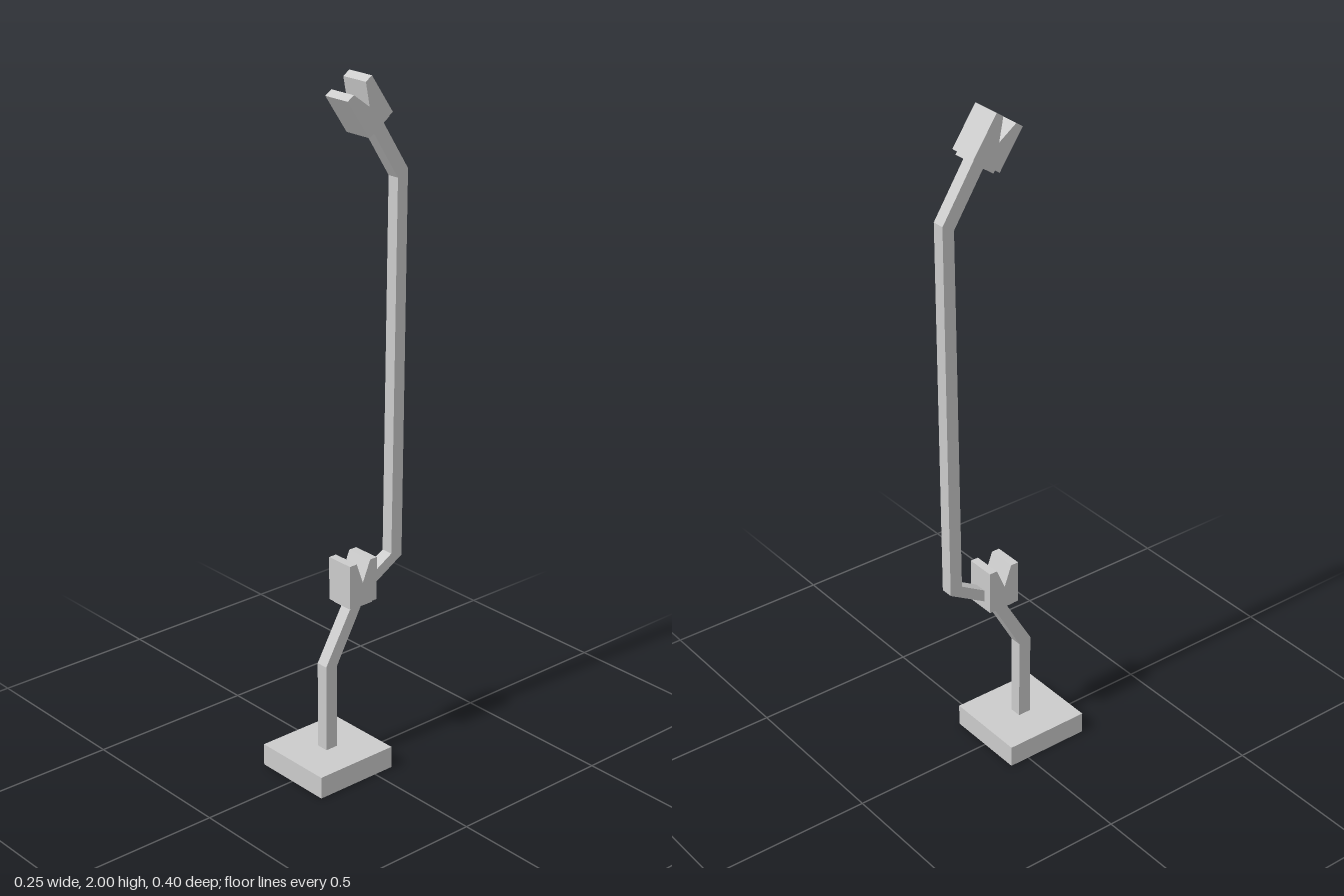
import * as THREE from 'three';

const material = new THREE.MeshStandardMaterial({ color: 0xcccccc, flatShading: true });

// Extrudes a [z, y] side profile across x, centred on x = 0
function slab(name, points, width) {
  const shape = new THREE.Shape(points.map(([z, y]) => new THREE.Vector2(z, y)));
  const geometry = new THREE.ExtrudeGeometry(shape, { depth: width, bevelEnabled: false });
  geometry.translate(0, 0, -width / 2);
  geometry.rotateY(-Math.PI / 2);
  const mesh = new THREE.Mesh(geometry, material);
  mesh.name = name;
  return mesh;
}

// Block with a V notch in its top and a thin inset foot below
function notchedBlock(name, y, z, tilt) {
  const group = new THREE.Group();
  group.name = name;
  group.add(slab('notchedHead', [
    [-0.05, 0], [0.05, 0], [0.05, 0.13], [0.025, 0.13],
    [0.002, 0.067], [-0.025, 0.13], [-0.05, 0.13],
  ], 0.088));
  const foot = new THREE.Mesh(new THREE.BoxGeometry(0.07, 0.01, 0.08), material);
  foot.name = 'headFoot';
  foot.position.y = -0.004;
  group.add(foot);
  group.position.set(0, y, z);
  group.rotation.x = tilt;
  return group;
}

export function createModel() {
  const model = new THREE.Group();
  model.name = 'bentStand';

  const base = new THREE.Mesh(new THREE.BoxGeometry(0.252, 0.066, 0.264), material);
  base.name = 'base';
  base.position.set(0, 0.033, 0.07);
  model.add(base);

  // Lower post: upright, then leaning back to the first block
  model.add(slab('lowerPost', [
    [0.05, 0.05], [0.09, 0.05], [0.09, 0.33], [-0.012, 0.505], [-0.053, 0.505], [0.05, 0.322],
  ], 0.037));
  model.add(notchedBlock('lowerRest', 0.5, -0.026, 0));

  // Upper post: out the back of the first block, up, then forward to the second
  model.add(slab('upperPost', [
    [-0.07, 0.522], [-0.193, 0.593], [-0.203, 1.72], [-0.105, 1.873],
    [-0.071, 1.85], [-0.167, 1.7], [-0.154, 0.608], [-0.07, 0.559],
  ], 0.037));
  model.add(notchedBlock('upperRest', 1.862, -0.082, 0.6));

  return model;
}
